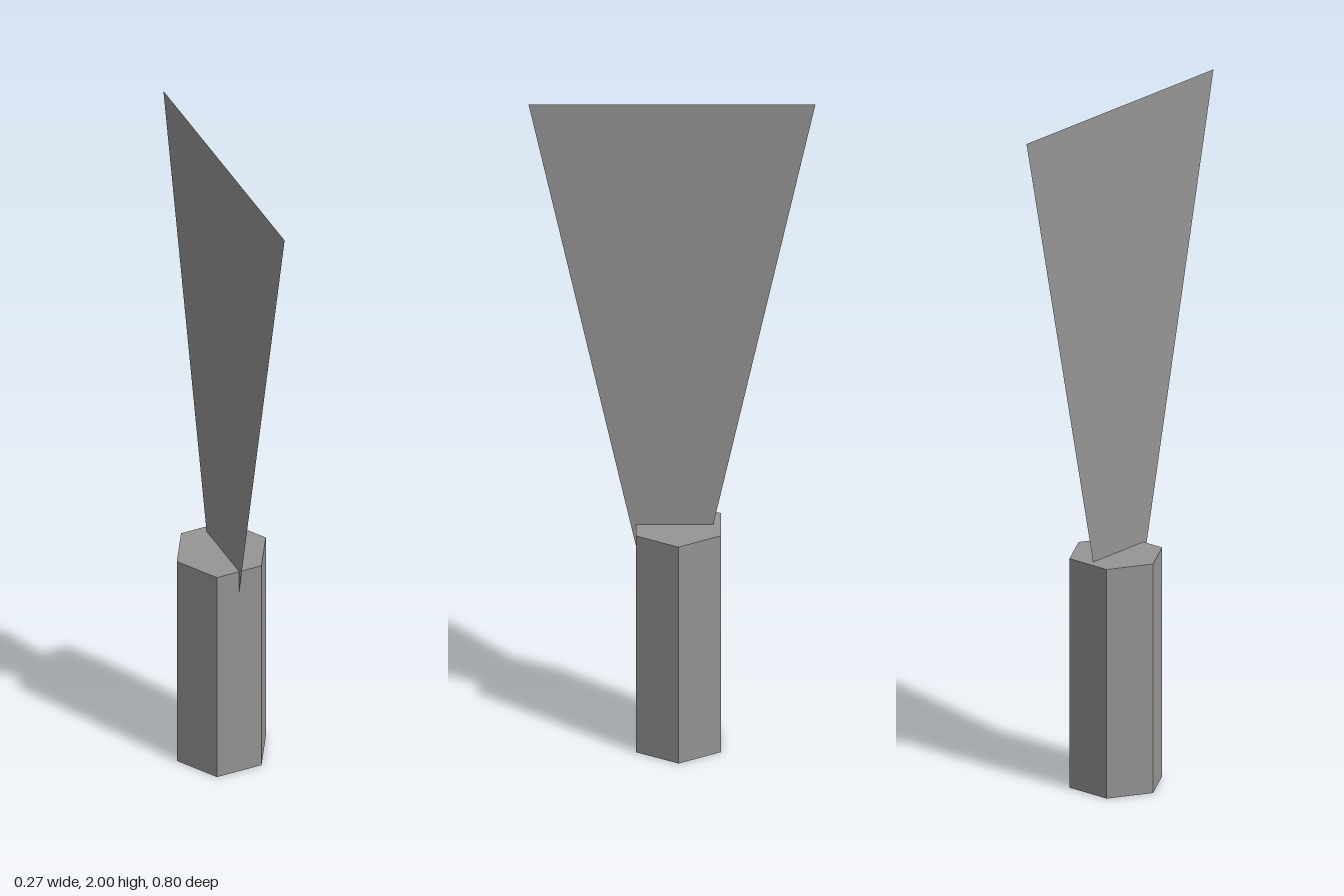
import * as THREE from 'three';

export function createModel() {
  const group = new THREE.Group();
  const grey = new THREE.MeshStandardMaterial({ color: 0x959595, flatShading: true, side: THREE.DoubleSide });
  grey.name = 'grey';

  // Six-sided handle with corners on the x axis
  const handleHeight = 0.68;
  const handle = new THREE.Mesh(
    new THREE.CylinderGeometry(0.137, 0.137, handleHeight, 6, 1, false, Math.PI / 6),
    grey
  );
  handle.name = 'handle';
  handle.position.set(0, handleHeight / 2, -0.018);
  group.add(handle);

  // Flat flaring blade, standing in the yz plane and sunk into the handle
  const outline = new THREE.Shape([
    new THREE.Vector2(-0.1, 0.61),
    new THREE.Vector2(0.1, 0.61),
    new THREE.Vector2(0.4, 2),
    new THREE.Vector2(-0.4, 2),
  ]);
  const blade = new THREE.Mesh(new THREE.ShapeGeometry(outline), grey);
  blade.name = 'blade';
  blade.rotation.y = Math.PI / 2;
  group.add(blade);

  return group;
}
